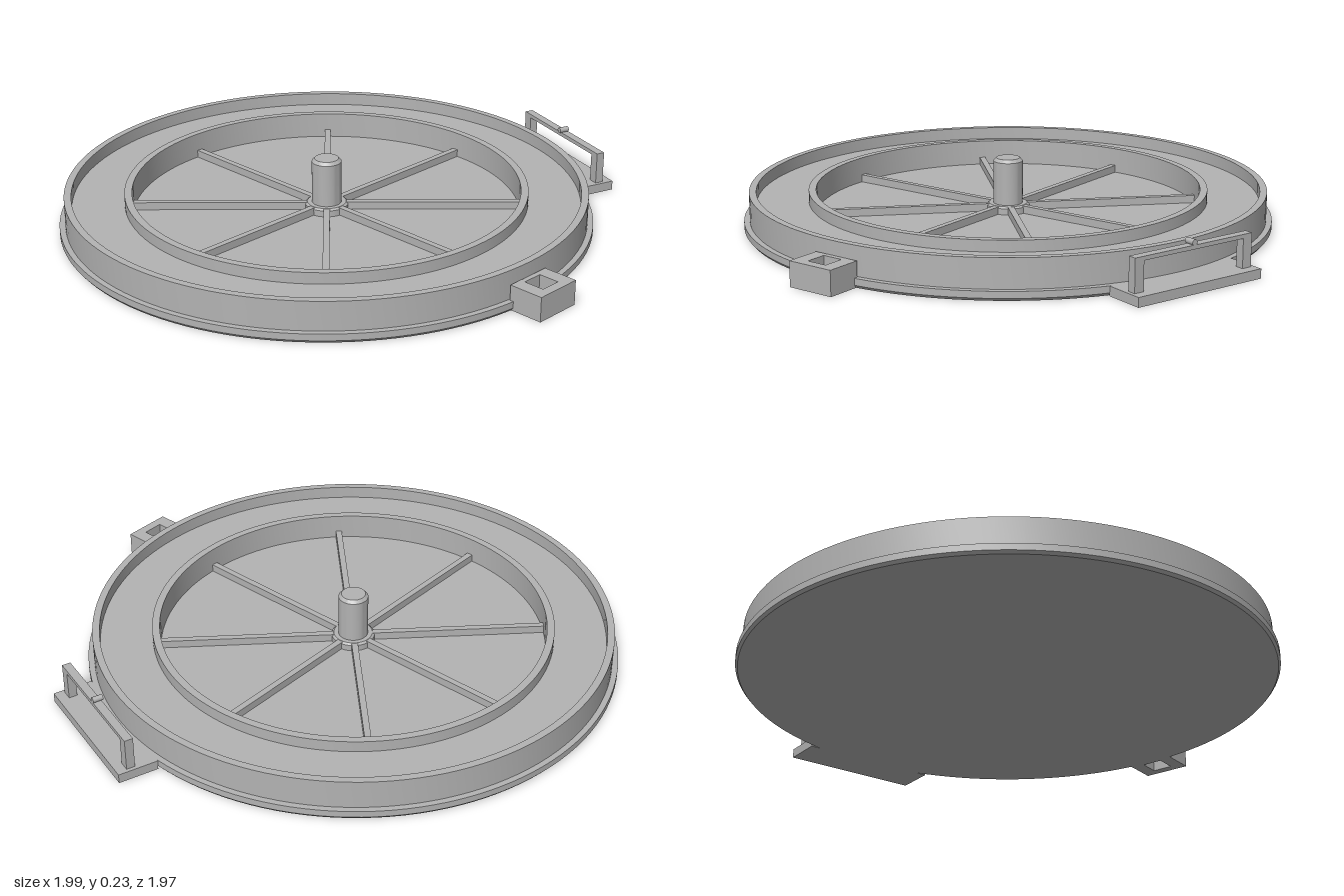
import * as THREE from 'three';
import { toCreasedNormals } from 'three/addons/utils/BufferGeometryUtils.js';

const grey = new THREE.MeshStandardMaterial({ color: 0xb3b3b3 });
grey.name = 'grey';

function add(parent, name, geometry, x = 0, y = 0, z = 0) {
  const mesh = new THREE.Mesh(geometry, grey);
  mesh.name = name;
  mesh.position.set(x, y, z);
  parent.add(mesh);
  return mesh;
}

function lathe(points, segments) {
  const profile = points.map(([r, y]) => new THREE.Vector2(r, y));
  return toCreasedNormals(new THREE.LatheGeometry(profile, segments), 0.45);
}

export function createModel() {
  const model = new THREE.Group();
  model.name = 'roundLid';
  const disc = new THREE.Group();
  disc.name = 'disc';
  disc.position.set(-0.07, 0, -0.057);
  model.add(disc);

  // Tray: flange, outer wall, raised shelf, inner ring and sunken floor
  add(disc, 'tray', lathe([
    [0, 0], [0.922, 0], [0.93, 0.01], [0.93, 0.033], [0.91, 0.033],
    [0.91, 0.135], [0.885, 0.135], [0.885, 0.09], [0.703, 0.09],
    [0.703, 0.13], [0.677, 0.13], [0.677, 0.038], [0, 0.038],
  ], 128));

  // Hub collar and central post with a chamfered top
  add(disc, 'hubCollar', lathe([[0.076, 0.036], [0.076, 0.06], [0.068, 0.066], [0, 0.066]], 32));
  add(disc, 'post', lathe([[0.052, 0.036], [0.052, 0.218], [0.042, 0.229], [0, 0.229]], 40));

  // Eight spokes from hub to inner ring
  for (let i = 0; i < 8; i++) {
    const spoke = new THREE.Group();
    spoke.name = 'spoke' + (i + 1);
    spoke.rotation.y = i * Math.PI / 4;
    disc.add(spoke);
    add(spoke, 'spokeBar', new THREE.BoxGeometry(0.64, 0.03, 0.022), 0.365, 0.05, 0);
  }

  // Square socket at the front, open top and bottom
  const outline = new THREE.Shape([[-0.157, 0.855], [0.015, 0.855], [0.015, 0.98], [-0.157, 0.98]]
    .map(([x, z]) => new THREE.Vector2(x, -z)));
  outline.holes.push(new THREE.Path([[-0.108, 0.873], [-0.108, 0.947], [-0.034, 0.947], [-0.034, 0.873]]
    .map(([x, z]) => new THREE.Vector2(x, -z))));
  const socket = new THREE.ExtrudeGeometry(outline, { depth: 0.087, bevelEnabled: false });
  socket.rotateX(-Math.PI / 2);
  add(model, 'socket', socket);

  // Handle on its own ledge; local x points outward from the disc
  const handle = new THREE.Group();
  handle.name = 'handle';
  handle.rotation.y = -Math.PI / 10;
  disc.add(handle);
  add(handle, 'handleLedge', new THREE.BoxGeometry(0.14, 0.033, 0.506), 0.967, 0.0165, 0);
  add(handle, 'handleBar', new THREE.BoxGeometry(0.03, 0.014, 0.48), 0.987, 0.14, 0);
  for (const side of [-1, 1]) {
    add(handle, 'handlePost', new THREE.BoxGeometry(0.03, 0.105, 0.036), 0.987, 0.0825, side * 0.222);
  }
  const pin = new THREE.CylinderGeometry(0.01, 0.01, 0.036, 16).rotateZ(Math.PI / 2);
  add(handle, 'handlePin', pin, 0.984, 0.155, 0);

  return model;
}
